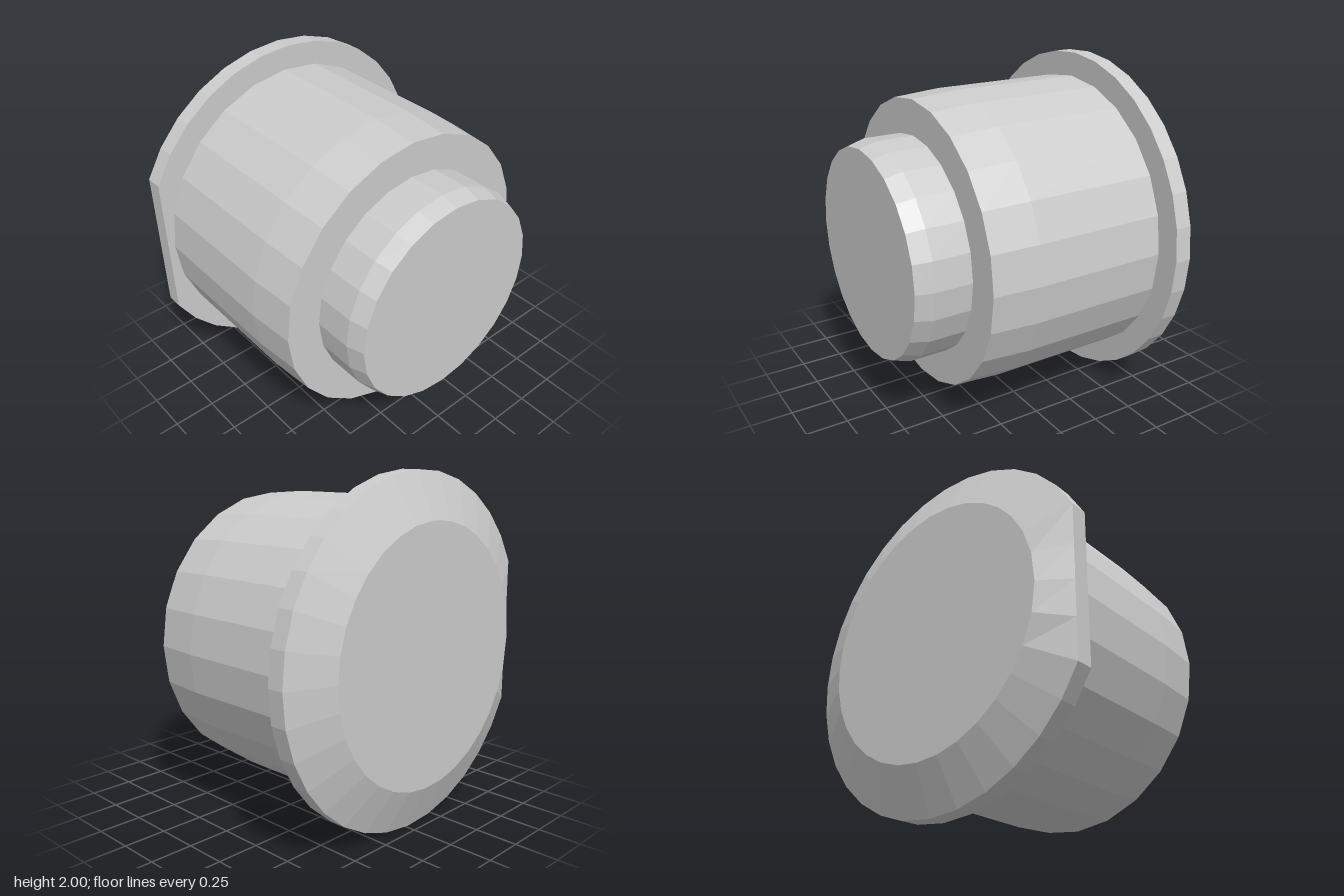
import * as THREE from 'three';

const AXIS_X = -0.05, AXIS_Y = 1; // all parts share one axis along z
const FLAT = 0.9;                 // distance from the axis to the flange's flat side

// Skins rings of [radius, z], listed back to front, around the given angles.
function loft(name, rings, angles, radiusAt = (r) => r) {
  const positions = [], index = [], n = angles.length;
  for (const [r, z] of rings) {
    for (const a of angles) {
      const rad = radiusAt(r, a);
      positions.push(AXIS_X + rad * Math.cos(a), AXIS_Y + rad * Math.sin(a), z);
    }
  }
  for (let i = 0; i < rings.length - 1; i++) {
    for (let j = 0; j < n; j++) {
      const k = (j + 1) % n;
      const a = i * n + j, b = i * n + k, c = b + n, d = a + n;
      if (rings[i][0] > 0) index.push(a, b, d);
      if (rings[i + 1][0] > 0) index.push(b, c, d);
      else if (rings[i][0] > 0) continue;
    }
  }
  const indexed = new THREE.BufferGeometry();
  indexed.setAttribute('position', new THREE.Float32BufferAttribute(positions, 3));
  indexed.setIndex(index);
  const geometry = indexed.toNonIndexed();
  geometry.computeVertexNormals();
  const mesh = new THREE.Mesh(geometry,
    new THREE.MeshStandardMaterial({ color: 0xcccccc, flatShading: true }));
  mesh.name = name;
  return mesh;
}

export function createModel() {
  const group = new THREE.Group();
  group.name = 'flangedPlug';

  const round = Array.from({ length: 24 }, (_, i) => (i / 24) * Math.PI * 2);

  // Flange angles: an arc up to the corners of the flat, then steps across the flat
  const corner = Math.PI - Math.acos(FLAT);
  const flangeAngles = Array.from({ length: 29 }, (_, i) => -corner + (2 * corner * i) / 28);
  for (const t of [0.25, 0.5, 0.75]) {
    flangeAngles.push(corner + t * 2 * (Math.PI - corner));
  }
  const cutFlat = (r, a) => (Math.cos(a) < 0 ? Math.min(r, FLAT / -Math.cos(a)) : r);

  // Bevelled flange at the back, cut flat on one side
  group.add(loft('flange',
    [[0, -0.8], [0.74, -0.8], [1, -0.69], [1, -0.59], [0, -0.59]], flangeAngles, cutFlat));

  // Main barrel, tapering slightly toward the front
  group.add(loft('barrel',
    [[0.86, -0.59], [0.86, 0.2], [0.84, 0.48], [0, 0.48]], round));

  // Narrow front stud with a chamfered end
  group.add(loft('stud',
    [[0.638, 0.48], [0.638, 0.7], [0.608, 0.8], [0, 0.8]], round));

  return group;
}
